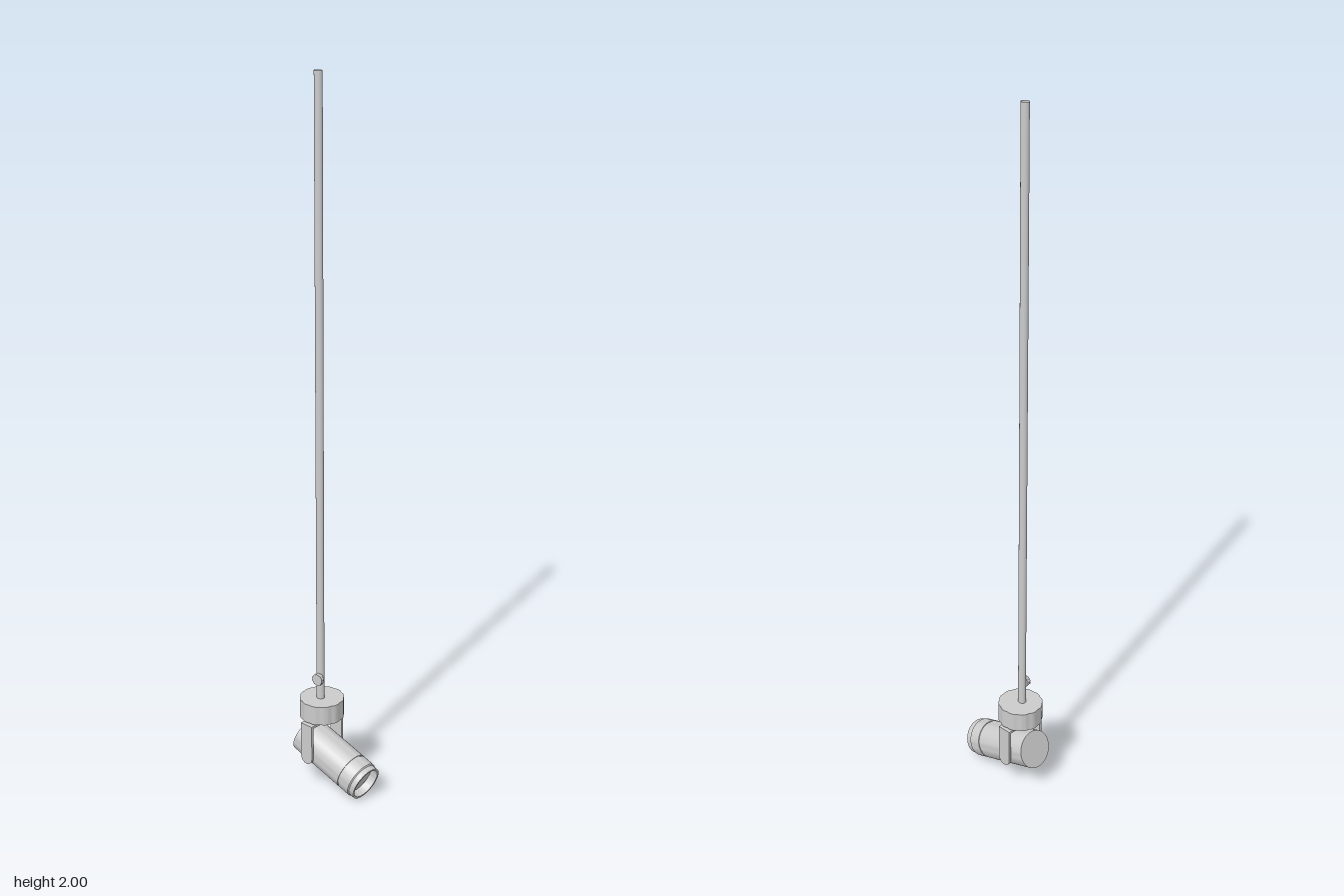
import * as THREE from 'three';
import { toCreasedNormals } from 'three/addons/utils/BufferGeometryUtils.js';

const grey = new THREE.MeshStandardMaterial({ color: 0xcccccc });
const greyThin = new THREE.MeshStandardMaterial({ color: 0xcccccc, side: THREE.DoubleSide });

function part(name, geometry, x = 0, y = 0, z = 0, material = grey) {
  const mesh = new THREE.Mesh(geometry, material);
  mesh.name = name;
  mesh.position.set(x, y, z);
  return mesh;
}

// Round outline with shallow lobes, extruded along z
function lobedDisc(radius, depth, lobes, wave) {
  const pts = [];
  const n = lobes * 10;
  for (let i = 0; i < n; i++) {
    const a = (i / n) * Math.PI * 2;
    const r = radius - wave * (1 - Math.abs(Math.sin((a * lobes) / 2)));
    pts.push(new THREE.Vector2(Math.cos(a) * r, Math.sin(a) * r));
  }
  const g = new THREE.ExtrudeGeometry(new THREE.Shape(pts), { depth, bevelEnabled: false });
  return toCreasedNormals(g, 0.4);
}

export function createModel() {
  const model = new THREE.Group();
  model.name = 'spotlightOnRod';

  // Everything hangs on one vertical axis
  const axis = new THREE.Group();
  axis.name = 'hangingAssembly';
  axis.position.set(-0.054, 0, -0.004);
  model.add(axis);

  // Long hollow rod
  const rodBottom = 0.255;
  const rod = part('rod',
    new THREE.CylinderGeometry(0.0115, 0.0115, 2 - rodBottom, 24, 1, true),
    -0.002, (2 + rodBottom) / 2, 0.002, greyThin);
  rod.scale.z = 0.85;
  axis.add(rod);

  // Clamp screw on the rod
  axis.add(part('clampKnob', lobedDisc(0.017, 0.012, 10, 0.0015), 0, 0.325, 0.01));
  const stem = part('clampStem', new THREE.CylinderGeometry(0.007, 0.007, 0.012, 16), 0, 0.325, 0.007);
  stem.rotation.x = Math.PI / 2;
  axis.add(stem);

  // Scalloped hand wheel
  const wheel = part('handWheel', lobedDisc(0.063, 0.056, 12, 0.0025), 0, 0.206, -0.002);
  wheel.rotation.x = -Math.PI / 2;
  axis.add(wheel);

  // Yoke, turned slightly about the vertical
  const yoke = new THREE.Group();
  yoke.name = 'yoke';
  yoke.rotation.y = -0.128;
  axis.add(yoke);

  const half = 0.0205, thick = 0.007, outer = 0.0655, pivotY = 0.105;
  yoke.add(part('yokeBridge', new THREE.BoxGeometry(half * 2, thick, outer * 2), 0, 0.1955, -0.002));
  yoke.add(part('yokeBolt', new THREE.CylinderGeometry(0.01, 0.01, 0.03, 20), 0, 0.195, 0));

  // Arm strap with a round lower end
  const arm = new THREE.Shape();
  arm.moveTo(half, 0.199);
  arm.lineTo(-half, 0.199);
  arm.lineTo(-half, 0.096);
  arm.absarc(0, 0.096, half, Math.PI, Math.PI * 2, false);
  const armGeometry = toCreasedNormals(
    new THREE.ExtrudeGeometry(arm, { depth: thick, bevelEnabled: false, curveSegments: 16 }), 0.5);
  for (const side of [1, -1]) {
    const name = side > 0 ? 'Front' : 'Back';
    const z = side > 0 ? outer - thick : -outer;
    yoke.add(part('yokeArm' + name, armGeometry, 0, 0, z - 0.002));
    const pin = part('pivotPin' + name, new THREE.CylinderGeometry(0.011, 0.011, 0.014, 20),
      0, pivotY, side * 0.055 - 0.002);
    pin.rotation.x = Math.PI / 2;
    yoke.add(pin);
  }

  // Lamp head: pitched down, its axis along local x
  const head = new THREE.Group();
  head.name = 'lampHead';
  head.position.set(0, pivotY, -0.001);
  head.rotation.z = -0.325 - Math.PI / 2;
  yoke.add(head);

  // Barrel with a groove, a stepped lip and a recessed mouth
  const profile = [
    [0, -0.061], [0.0545, -0.061], [0.0545, 0.117], [0.0525, 0.117], [0.0525, 0.121],
    [0.0545, 0.121], [0.0545, 0.157], [0.051, 0.160], [0.051, 0.176],
    [0.045, 0.176], [0.045, 0.152],
  ].map(([r, u]) => new THREE.Vector2(r, u));
  head.add(part('barrel', toCreasedNormals(new THREE.LatheGeometry(profile, 48), 0.5)));

  // Slightly domed lens inside the mouth
  const lens = [[0.045, 0.152], [0.034, 0.155], [0.018, 0.157], [0, 0.158]]
    .map(([r, u]) => new THREE.Vector2(r, u));
  head.add(part('lens', new THREE.LatheGeometry(lens, 48)));

  return model;
}
